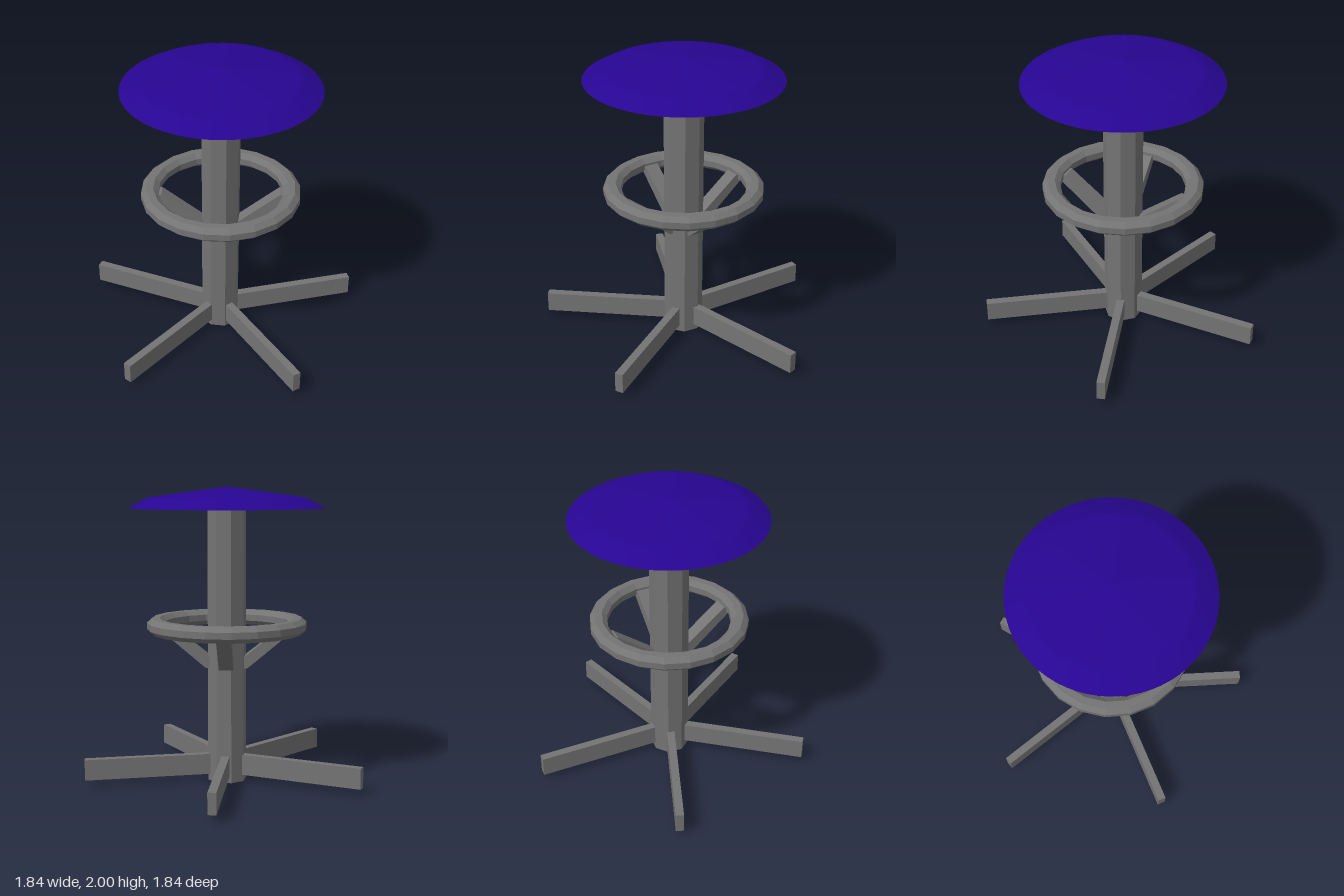
import * as THREE from 'three';

const darkGrey = new THREE.MeshStandardMaterial({ color: 0x747474, flatShading: true });
const purple = new THREE.MeshStandardMaterial({ color: 0x270592, side: THREE.DoubleSide });

function part(parent, name, geometry, material = darkGrey) {
  const mesh = new THREE.Mesh(geometry, material);
  mesh.name = name;
  parent.add(mesh);
  return mesh;
}

// Repeat a part built along +x around the column, at angles in degrees
function radial(parent, name, geometry, angles) {
  const group = new THREE.Group();
  group.name = name + 's';
  parent.add(group);
  for (const angle of angles) {
    part(group, name, geometry).rotation.y = -THREE.MathUtils.degToRad(angle);
  }
}

export function createModel() {
  const stool = new THREE.Group();
  stool.name = 'stool';
  const body = new THREE.Group();
  body.name = 'stoolBody';
  body.position.set(0.053, 0, -0.046);
  stool.add(body);

  // Eight-sided column, ending just inside the hollow seat
  part(body, 'column', new THREE.CylinderGeometry(0.133, 0.133, 1.93, 8).translate(0, 0.965, 0));

  // Thin domed seat, open underneath
  const seatProfile = [[0.655, 1.86], [0.54, 1.922], [0.49, 1.935], [0, 2]]
    .map(([r, y]) => new THREE.Vector2(r, y));
  part(body, 'seat', new THREE.LatheGeometry(seatProfile, 64), purple);

  // Foot ring with an eight-sided section
  const ringProfile = [];
  for (let i = 0; i <= 8; i++) {
    const t = ((i - 0.5) * Math.PI) / 4;
    ringProfile.push(new THREE.Vector2(0.482 + 0.064 * Math.cos(t), 1.07 + 0.057 * Math.sin(t)));
  }
  part(body, 'footRing', new THREE.LatheGeometry(ringProfile, 20));

  // Slanted struts carrying the foot ring
  const strutShape = new THREE.Shape(
    [[0.08, 0.78], [0.14, 0.78], [0.48, 1.065], [0.40, 1.08], [0.08, 0.83]]
      .map(([r, y]) => new THREE.Vector2(r, y)),
  );
  const strut = new THREE.ExtrudeGeometry(strutShape, { depth: 0.098, bevelEnabled: false });
  strut.translate(0, 0, -0.049);
  radial(body, 'ringStrut', strut, [60, 150, 240, 330]);

  // Five flat legs, spread slightly unevenly
  const leg = new THREE.BoxGeometry(0.975, 0.14, 0.055).translate(0.4875, 0.115, 0);
  radial(body, 'leg', leg, [28.8, 99.6, 172.6, 242.5, 316]);

  return stool;
}
